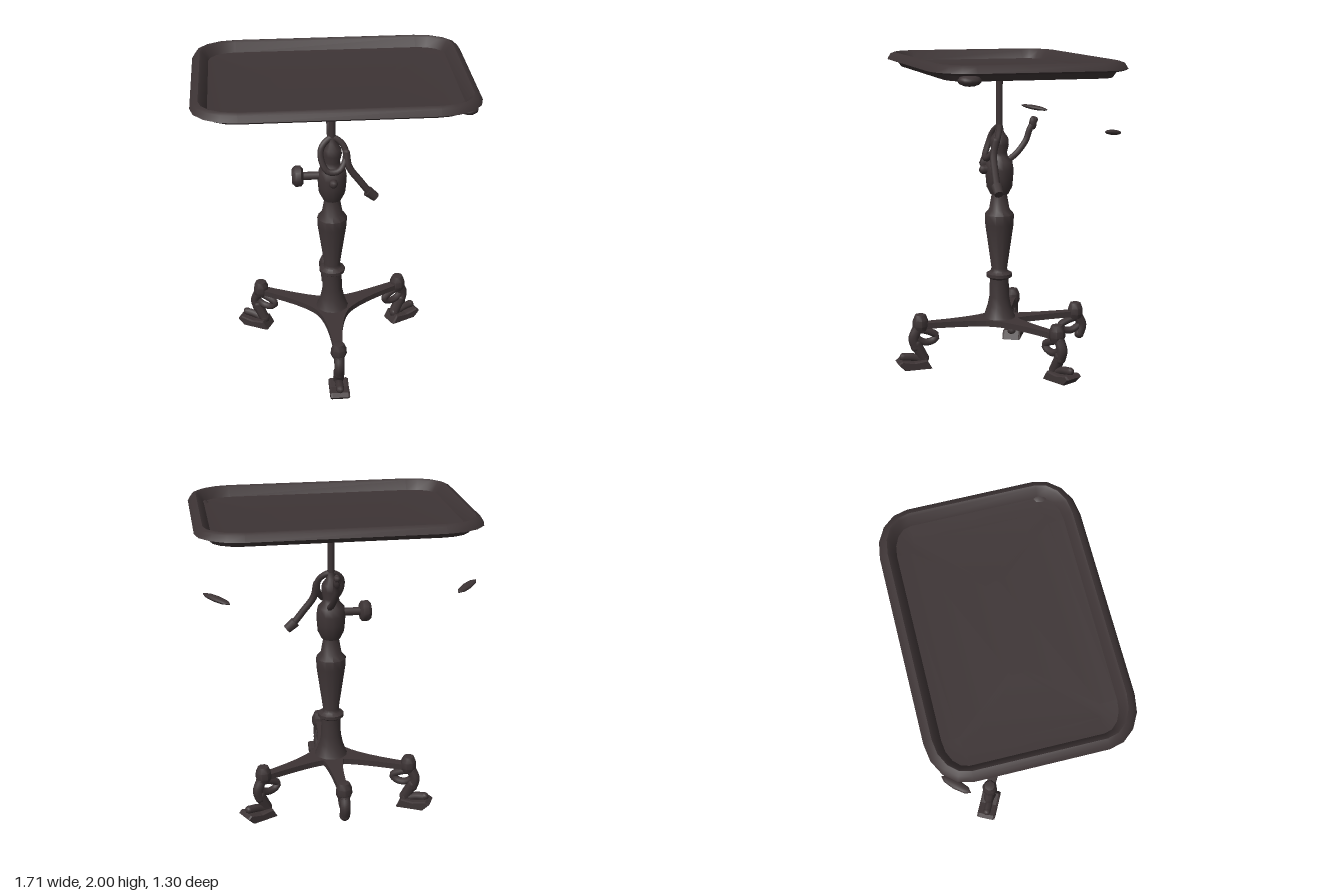
import * as THREE from 'three';
import { toCreasedNormals } from 'three/addons/utils/BufferGeometryUtils.js';

const iron = new THREE.MeshStandardMaterial({ color: 0x3d3435, side: THREE.DoubleSide });
iron.name = 'dark iron';
const HUB_Z = -0.037;
const v = (p) => new THREE.Vector3(...p);

function add(parent, name, geo, pos = [0, 0, 0], scale = [1, 1, 1]) {
  const m = new THREE.Mesh(geo, iron);
  m.name = name;
  m.position.set(...pos);
  m.scale.set(...scale);
  parent.add(m);
  return m;
}
const lathe = (pts, n = 12) => toCreasedNormals(
  new THREE.LatheGeometry(pts.map(([r, y]) => new THREE.Vector2(r, y)), n), 0.8);
const ball = (n = 10) => new THREE.SphereGeometry(1, n, 7);

// Tube along points, with round caps at its ends
function rod(parent, name, pts, r, closed = false) {
  const g = new THREE.Group();
  g.name = name;
  parent.add(g);
  const curve = new THREE.CatmullRomCurve3(pts.map(v), closed);
  add(g, name + 'Bar', new THREE.TubeGeometry(curve, pts.length * 4, r, 7, closed));
  if (!closed) for (const p of [pts[0], pts[pts.length - 1]]) add(g, name + 'End', ball(8), p, [r, r, r]);
  return g;
}

// Rounded rectangular tray lofted from [inset, height] rings
function trayGeometry() {
  const profile = [[0.56, 1.906], [0.09, 1.906], [0.065, 1.94], [0.03, 1.945], [0, 1.955],
    [0.022, 1.99], [0.05, 2.0], [0.066, 1.99], [0.1, 1.935], [0.2, 1.925], [0.56, 1.925]];
  const seg = 4, n = 4 * (seg + 1), pos = [], idx = [];
  for (const [d, y] of profile) {
    const rx = Math.max(0.275 - d, 0.02), rz = Math.max(0.22 - d, 0.02);
    const hx = 0.855 - d, hz = 0.603 - d;
    for (let q = 0; q < 4; q++) for (let s = 0; s <= seg; s++) {
      const a = (q + s / seg) * Math.PI / 2;
      const sx = q === 0 || q === 3 ? 1 : -1, sz = q < 2 ? 1 : -1;
      pos.push(sx * (hx - rx) + rx * Math.cos(a), y, sz * (hz - rz) + rz * Math.sin(a) - 0.042);
    }
  }
  const last = (profile.length - 1) * n;
  for (let k = 0; k < profile.length - 1; k++) for (let i = 0; i < n; i++) {
    const a = k * n + i, b = k * n + (i + 1) % n;
    idx.push(a, a + n, b, b, a + n, b + n);
  }
  for (let i = 1; i < n - 1; i++) idx.push(0, i, i + 1, last, last + i + 1, last + i);
  const g = new THREE.BufferGeometry();
  g.setAttribute('position', new THREE.Float32BufferAttribute(pos, 3));
  g.setIndex(idx);
  return toCreasedNormals(g, 0.75);
}

// Flat star of four arms joined by concave curves
function starGeometry(angles) {
  const at = (r, a, side = 0) => [r * Math.sin(a) + side * Math.cos(a), -(r * Math.cos(a) - side * Math.sin(a))];
  const s = new THREE.Shape();
  angles.forEach((a, i) => {
    const next = angles[(i + 1) % angles.length] + (i === angles.length - 1 ? 2 * Math.PI : 0);
    if (i === 0) s.moveTo(...at(0.54, a, -0.028));
    s.lineTo(...at(0.54, a, 0.028));
    const mid = (a + next) / 2;
    s.quadraticCurveTo(...at(0.19, a, 0.035), ...at(0.125, mid));
    s.quadraticCurveTo(...at(0.19, next, -0.035), ...at(0.54, next, -0.028));
  });
  const g = new THREE.ExtrudeGeometry(s, { depth: 0.038, bevelEnabled: false, curveSegments: 6 });
  return g.rotateX(-Math.PI / 2);
}

// Knob, scrolled bracket and foot at the end of an arm (built along +z)
function makeCaster(angle, withFoot) {
  const g = new THREE.Group();
  g.name = withFoot ? 'caster' : 'casterWithoutFoot';
  g.rotation.y = angle;
  g.position.z = HUB_Z;
  add(g, 'armKnob', lathe([[0, 0.24], [0.04, 0.25], [0.052, 0.28], [0.05, 0.32], [0.035, 0.355], [0, 0.362]], 8), [0, 0, 0.53]);
  rod(g, 'scroll', [[0, 0.25, 0.55], [0, 0.235, 0.47], [0, 0.205, 0.425], [0, 0.175, 0.45], [0, 0.17, 0.51], [0, 0.21, 0.56]], 0.024, true);
  rod(g, 'bracket', [[0, 0.26, 0.55], [0, 0.2, 0.575], [0, 0.14, 0.56]], 0.034);
  if (!withFoot) return g;
  rod(g, 'shank', [[0, 0.16, 0.56], [0, 0.11, 0.535], [0, 0.06, 0.51]], 0.036);
  const sole = new THREE.Shape();
  [[0.47, 0.005], [0.64, 0.005], [0.68, 0.045], [0.66, 0.06], [0.58, 0.045], [0.5, 0.055]]
    .forEach(([z, y], i) => (i ? sole.lineTo(-z, y) : sole.moveTo(-z, y)));
  const foot = new THREE.ExtrudeGeometry(sole, { depth: 0.1, bevelEnabled: true, bevelSize: 0.005, bevelThickness: 0.012, bevelSegments: 1 });
  foot.translate(0, 0, -0.05).rotateY(Math.PI / 2);
  add(g, 'foot', foot);
  rod(g, 'toe', [[0, 0.06, 0.54], [0, 0.075, 0.59], [0, 0.08, 0.645]], 0.026);
  return g;
}

export function createModel() {
  const model = new THREE.Group();
  model.name = 'trayStand';

  // Tray and its post
  add(model, 'tray', trayGeometry());
  add(model, 'trayCornerLug', ball(), [0.77, 1.912, 0.365], [0.06, 0.034, 0.07]);
  add(model, 'trayPost', new THREE.CylinderGeometry(0.022, 0.022, 0.56, 10), [0, 1.63, HUB_Z]);

  // Turned column
  add(model, 'column', lathe([[0.115, 0.29], [0.1, 0.315], [0.078, 0.38], [0.066, 0.44], [0.063, 0.56],
    [0.085, 0.575], [0.085, 0.595], [0.058, 0.61], [0.052, 0.63], [0.094, 0.92], [0.097, 0.985],
    [0.068, 1.02], [0.05, 1.12], [0.06, 1.13]]), [0, 0, HUB_Z]);
  add(model, 'clampBody', lathe([[0, 1.11], [0.06, 1.12], [0.085, 1.17], [0.09, 1.22], [0.094, 1.28],
    [0.086, 1.33], [0.055, 1.365], [0.05, 1.39], [0.062, 1.44], [0.058, 1.48], [0.03, 1.52], [0.022, 1.56]]), [0, 0, HUB_Z]);

  // Thumb screw on the clamp
  const screw = new THREE.Group();
  screw.name = 'thumbScrew';
  screw.position.set(0, 1.29, HUB_Z);
  screw.rotation.z = Math.PI / 2;
  model.add(screw);
  add(screw, 'thumbScrewShaft', new THREE.CylinderGeometry(0.027, 0.027, 0.14, 8), [0, 0.13, 0]);
  add(screw, 'thumbScrewHead', lathe([[0, 0.185], [0.05, 0.185], [0.07, 0.2], [0.07, 0.235], [0.05, 0.255], [0, 0.255]], 8));

  // Yoke and its two levers
  rod(model, 'yoke', [[0, 1.555, -0.035], [-0.065, 1.51, -0.01], [-0.075, 1.44, 0.015], [-0.035, 1.36, 0.05],
    [0.035, 1.36, 0.05], [0.08, 1.43, 0.015], [0.07, 1.51, -0.01]], 0.02, true);
  rod(model, 'frontLever', [[0.085, 1.47, 0.01], [0.1, 1.38, 0.03], [0.17, 1.28, 0.04], [0.23, 1.2, 0.045]], 0.023);
  const grip = add(model, 'frontLeverGrip', new THREE.CylinderGeometry(0.036, 0.03, 0.07, 8), [0.245, 1.185, 0.045]);
  grip.rotation.z = 0.85;
  rod(model, 'rearLever', [[0.02, 1.33, -0.08], [0.01, 1.38, -0.15], [0, 1.46, -0.215], [0, 1.53, -0.24], [0, 1.59, -0.275]], 0.02);
  add(model, 'rearLeverTip', ball(8), [0, 1.57, -0.262], [0.024, 0.045, 0.026]);
  rod(model, 'clampBolt', [[0, 1.28, 0.02], [0, 1.28, 0.07]], 0.028);

  // Four armed base with casters
  const side = 2.034;
  const angles = [0, side, Math.PI, 2 * Math.PI - side];
  add(model, 'baseStar', starGeometry(angles), [0, 0.264, HUB_Z]);
  angles.forEach((a) => model.add(makeCaster(a, a !== Math.PI)));

  // Loose leaf shaped pieces on either side
  for (const s of [1, -1]) {
    const leaf = add(model, 'leaf', ball(8), [s * 0.745, 1.588, -0.515], [0.03, 0.016, 0.105]);
    leaf.rotation.order = 'YXZ';
    leaf.rotation.set(-0.12, s * Math.PI / 4, 0);
  }
  return model;
}
